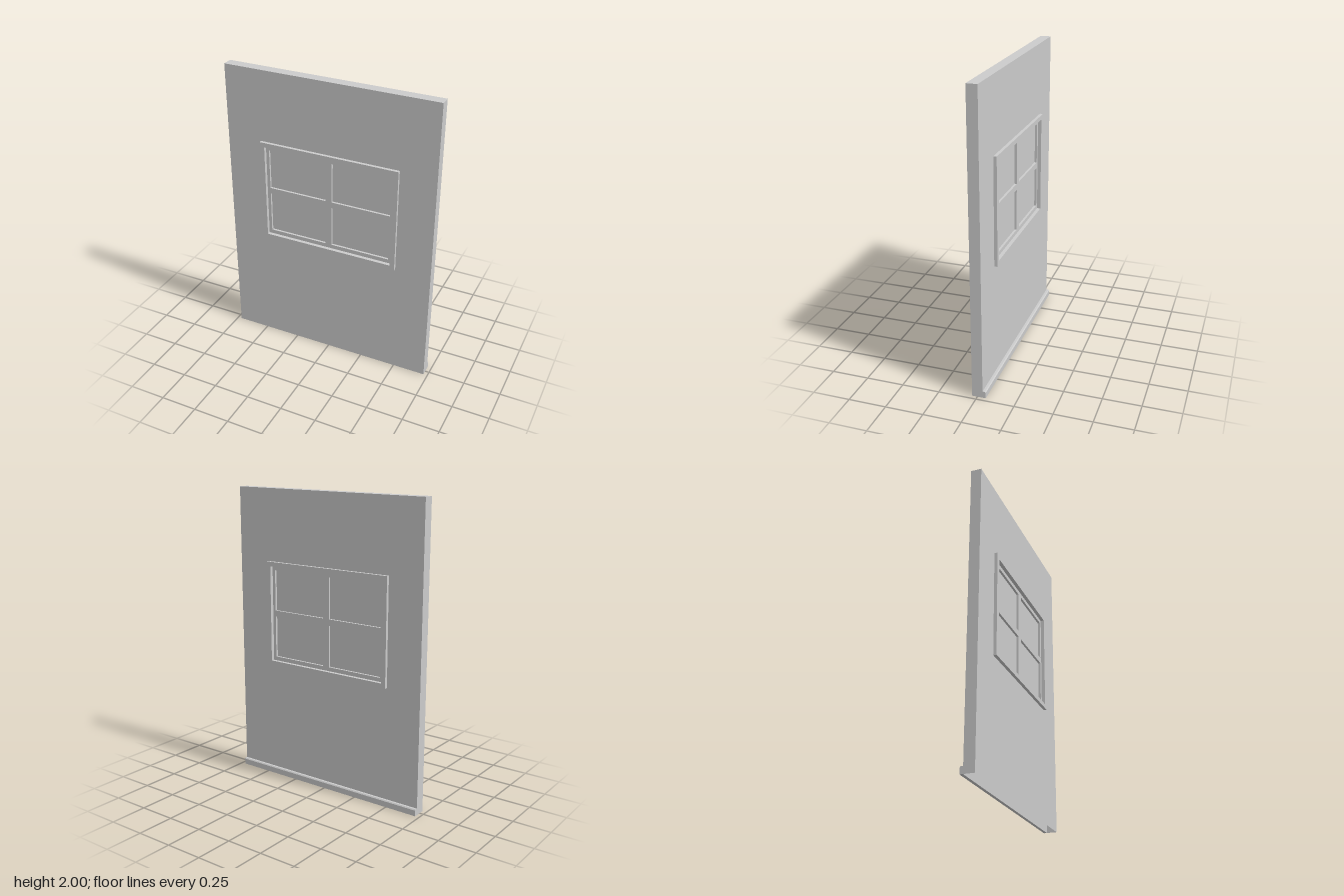
import * as THREE from 'three';

const WIDTH = 1.444, HEIGHT = 2, WALL = 0.07, FRAME = 0.112;
const material = new THREE.MeshStandardMaterial({ color: 0xcccccc, flatShading: true });
const shellMaterial = new THREE.MeshStandardMaterial({ color: 0xcccccc, flatShading: true, side: THREE.DoubleSide });

// Rectangle [x0, y0, x1, y1] with rectangular openings, extruded evenly about z = 0
function panel([x0, y0, x1, y1], holes, depth) {
  const rect = (Type, a, b, c, d) => {
    const path = new Type();
    path.moveTo(a, b);
    path.lineTo(c, b);
    path.lineTo(c, d);
    path.lineTo(a, d);
    path.closePath();
    return path;
  };
  const shape = rect(THREE.Shape, x0, y0, x1, y1);
  for (const h of holes) shape.holes.push(rect(THREE.Path, ...h));
  return new THREE.ExtrudeGeometry(shape, { depth, bevelEnabled: false }).translate(0, 0, -depth / 2);
}

// Drop the triangles lying on the ground, leaving a hollow shell open below
function openBottom(geometry) {
  const p = geometry.attributes.position, kept = [];
  for (let i = 0; i < p.count; i += 3) {
    if (Math.max(p.getY(i), p.getY(i + 1), p.getY(i + 2)) < 1e-4) continue;
    for (let k = i; k < i + 3; k++) kept.push(p.getX(k), p.getY(k), p.getZ(k));
  }
  const result = new THREE.BufferGeometry();
  result.setAttribute('position', new THREE.Float32BufferAttribute(kept, 3));
  result.computeVertexNormals();
  return result;
}

export function createModel() {
  const model = new THREE.Group();
  model.name = 'wallWithWindow';
  const add = (parent, name, geometry, mat = material) => {
    const mesh = new THREE.Mesh(geometry, mat);
    mesh.name = name;
    parent.add(mesh);
  };

  // Wall with the window opening
  const outer = [-0.48, 0.8, 0.48, 1.515];
  const inner = [-0.448, 0.83, 0.448, 1.484];
  add(model, 'wall', openBottom(panel([-WIDTH / 2, 0, WIDTH / 2, HEIGHT], [inner], WALL)), shellMaterial);

  // Window: raised frame, recessed sash with four openings, glass
  const window = new THREE.Group();
  window.name = 'window';
  model.add(window);
  const openings = [];
  for (const [x0, x1] of [[-0.427, -0.023], [0.023, 0.427]])
    for (const [y0, y1] of [[0.857, 1.138], [1.18, 1.457]]) openings.push([x0, y0, x1, y1]);
  add(window, 'windowFrame', panel(outer, [inner], FRAME));
  add(window, 'windowSash', panel(inner, openings, 0.064));
  openings.forEach(([x0, y0, x1, y1], i) => {
    const pane = new THREE.BoxGeometry(x1 - x0, y1 - y0, 0.034);
    add(window, 'glassPane' + (i + 1), pane.translate((x0 + x1) / 2, (y0 + y1) / 2, 0));
  });

  // Skirting board along the back, with a chamfered top edge
  const profile = new THREE.Shape([[0.035, 0], [0.056, 0], [0.056, 0.038], [0.05, 0.045], [0.035, 0.045]]
    .map(([x, y]) => new THREE.Vector2(x, y)));
  const skirting = new THREE.ExtrudeGeometry(profile, { depth: WIDTH, bevelEnabled: false });
  add(model, 'skirtingBoard', skirting.translate(0, 0, -WIDTH / 2).rotateY(Math.PI / 2));

  return model;
}
